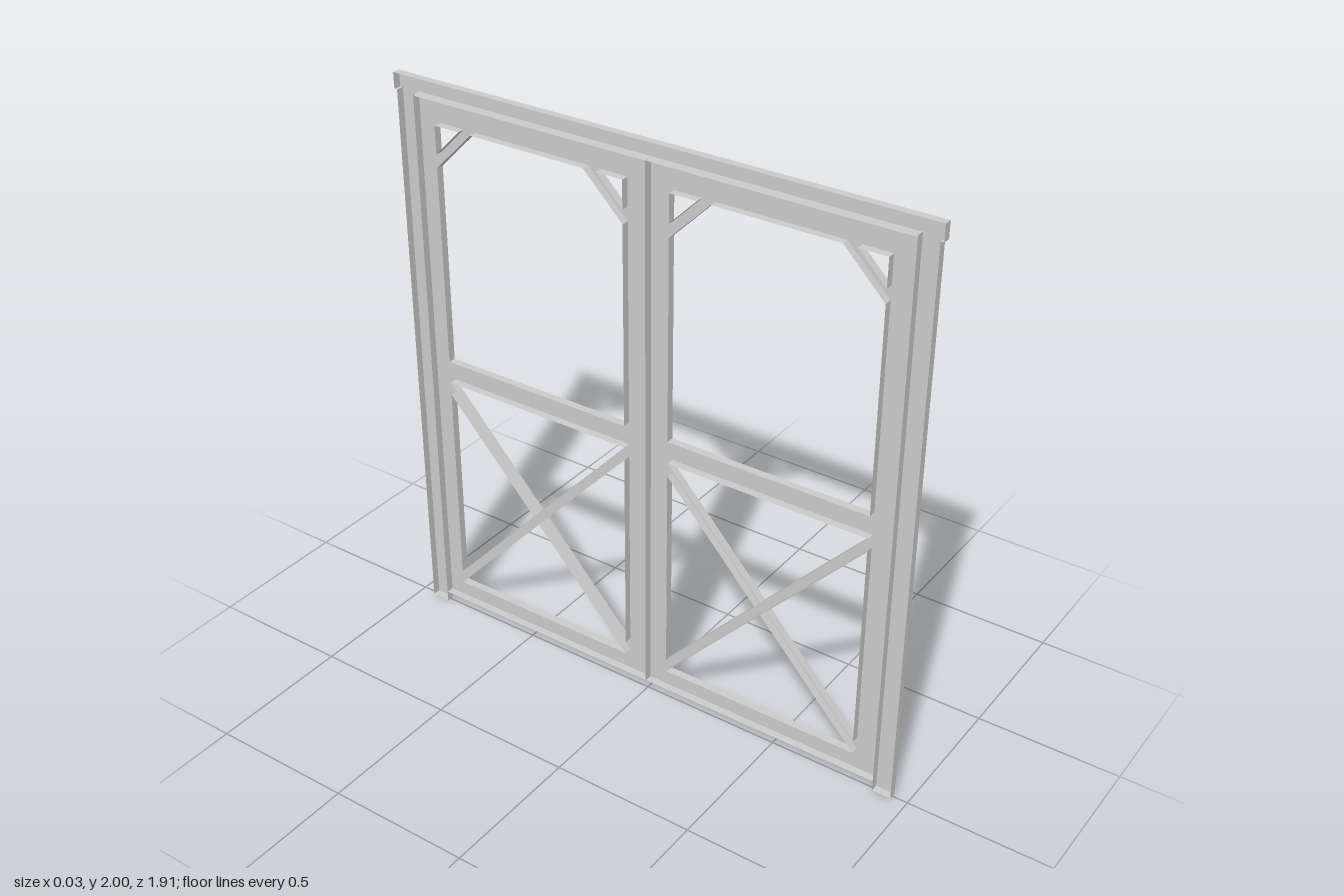
import * as THREE from 'three';

const DEPTH = 0.027;
const material = new THREE.MeshStandardMaterial({ color: 0xcccccc, flatShading: true, side: THREE.DoubleSide });
const toPoints = (list) => list.map(([u, y]) => new THREE.Vector2(u, y));

// Pressed sheet: a face on the +x side with edge walls turned back, open at -x
function sheetPart(name, outline, holes = []) {
  const part = new THREE.Group();
  part.name = name;
  const shape = new THREE.Shape(toPoints(outline));
  holes.forEach((h) => shape.holes.push(new THREE.Path(toPoints(h))));
  const face = new THREE.Mesh(new THREE.ShapeGeometry(shape), material);
  face.name = name + 'Face';

  const pos = [];
  const addWalls = (loop, inner) => {
    const clockwise = THREE.ShapeUtils.isClockWise(toPoints(loop));
    const pts = clockwise === inner ? loop : [...loop].reverse();
    pts.forEach(([u0, y0], i) => {
      const [u1, y1] = pts[(i + 1) % pts.length];
      pos.push(u0, y0, 0, u0, y0, -DEPTH, u1, y1, -DEPTH);
      pos.push(u0, y0, 0, u1, y1, -DEPTH, u1, y1, 0);
    });
  };
  addWalls(outline, false);
  holes.forEach((h) => addWalls(h, true));
  const wallGeometry = new THREE.BufferGeometry();
  wallGeometry.setAttribute('position', new THREE.Float32BufferAttribute(pos, 3));
  wallGeometry.computeVertexNormals();
  const walls = new THREE.Mesh(wallGeometry, material);
  walls.name = name + 'Edges';

  part.add(face, walls);
  part.rotation.y = Math.PI / 2;
  part.position.x = DEPTH / 2;
  return part;
}

// Openings of one leaf, between its inner stile (a) and outer stile (b)
function leafHoles() {
  const a = 0.083, b = 0.8, mid = (a + b) / 2;
  const top = 1.86, rail = 1.02;
  const brace = 0.143, corner = 0.096;
  // lower panel: four triangles left between the crossed braces
  const lo = 0.116, hi = 0.94, t = 0.047, cy = (lo + hi) / 2;
  const dy = t / 2, du = dy * (b - a) / (hi - lo - t);
  return [
    [[a, rail], [b, rail], [b, top - brace], [b - brace, top], [a + brace, top], [a, top - brace]],
    [[a, top], [a, top - corner], [a + corner, top]],
    [[b, top], [b - corner, top], [b, top - corner]],
    [[a, hi], [mid, cy + dy], [b, hi]],
    [[a, lo], [b, lo], [mid, cy - dy]],
    [[a, lo + t], [mid - du, cy], [a, hi - t]],
    [[b, lo + t], [b, hi - t], [mid + du, cy]],
  ];
}

export function createModel() {
  const model = new THREE.Group();
  model.name = 'doubleDoor';

  // Header with overhanging ends and two posts
  const half = [[0.88, 1.945], [0.88, 0], [0.946, 0], [0.946, 1.945], [0.957, 1.945], [0.957, 2]];
  const mirrored = half.map(([u, y]) => [-u, y]).reverse();
  model.add(sheetPart('doorFrame', [...half, ...mirrored]));

  // Two mirrored leaves
  const leaf = [[0.001, 0.038], [0.88, 0.038], [0.88, 1.94], [0.001, 1.94]];
  for (const s of [1, -1]) {
    const flip = (loop) => loop.map(([u, y]) => [s * u, y]);
    model.add(sheetPart(s > 0 ? 'backLeaf' : 'frontLeaf', flip(leaf), leafHoles().map(flip)));
  }
  return model;
}
